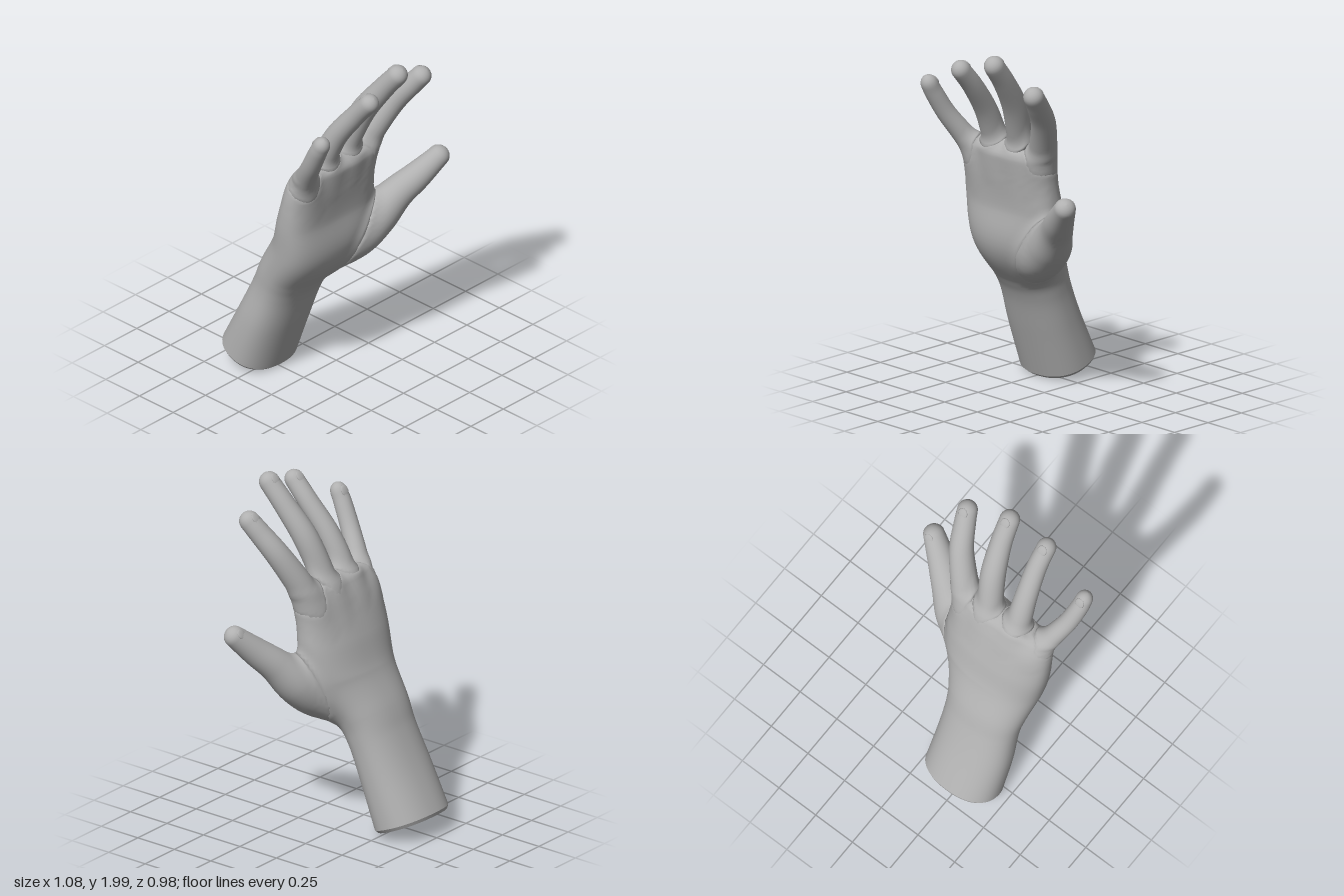
import * as THREE from 'three';

const skin = new THREE.MeshStandardMaterial({ color: 0xb0b0b0 });
skin.name = 'plain grey';

const X = new THREE.Vector3(1, 0, 0);
const BLEND = 0.07; // width of the fillet where parts meet
const CAP_STEPS = 6;

// Half depth of a ring at a place across it; the front may be hollowed
const depthAt = (r, across, isFront) => r.y - (isFront ? r.z * Math.max(0, 1 - across * across) : 0);

// Lofts oval rings through sections [x, y, z, half width, half depth, hollow of the front]
// and closes the far end with a rounded cap. Round sections leave out the depth.
function loft(name, sections, { sides = 24, perSpan = 8, cap = 0.055, square = 1, level = false } = {}) {
  const path = new THREE.CatmullRomCurve3(sections.map(s => new THREE.Vector3(s[0], s[1], s[2])), false, 'catmullrom', 0.5);
  const size = new THREE.CatmullRomCurve3(sections.map(s => new THREE.Vector3(s[3], s[4] ?? s[3], s[5] ?? 0)), false, 'catmullrom', 0.5);
  const steps = (sections.length - 1) * perSpan;
  const rings = [], points = [], indices = [];

  for (let j = 0; j <= steps; j++) {
    const along = path.getTangent(j / steps);
    if (level) along.setX(0).normalize();
    const side = X.clone().addScaledVector(along, -along.x).normalize();
    rings.push({ centre: path.getPoint(j / steps), r: size.getPoint(j / steps), along, side, front: side.clone().cross(along) });
  }
  for (let j = 0; j <= steps + CAP_STEPS; j++) {
    const { centre, r, along, side, front } = rings[Math.min(j, steps)];
    const bend = Math.max(0, j - steps) / CAP_STEPS * Math.PI / 2;
    for (let i = 0; i < sides; i++) {
      const a = i / sides * Math.PI * 2;
      const c = Math.sign(Math.cos(a)) * Math.abs(Math.cos(a)) ** square;
      const s = Math.sign(Math.sin(a)) * Math.abs(Math.sin(a)) ** square;
      points.push(centre.clone()
        .addScaledVector(along, cap * Math.sin(bend))
        .addScaledVector(side, r.x * c * Math.cos(bend))
        .addScaledVector(front, depthAt(r, c, s > 0) * s * Math.cos(bend)));
      if (j === steps + CAP_STEPS) continue;
      const p = j * sides + i, q = j * sides + (i + 1) % sides;
      indices.push(p, p + sides, q, q, p + sides, q + sides);
    }
  }
  return { name, rings, points, indices, sides, cap, power: 2 / square };
}

// Approximate signed distance from a point to a lofted part
function distanceTo(part, p) {
  const v = new THREE.Vector3();
  let best = Infinity, ring = 0;
  part.rings.forEach(({ centre, along }, j) => {
    v.subVectors(p, centre);
    const score = v.dot(along) ** 2 + 0.05 * v.lengthSq();
    if (score < best) { best = score; ring = j; }
  });
  const { centre, along, side, front, r } = part.rings[ring];
  v.subVectors(p, centre);
  const x = Math.abs(v.dot(side)) / r.x;
  const half = depthAt(r, x, v.dot(front) > 0);
  const y = Math.abs(v.dot(front)) / half;
  const isEnd = ring === 0 || ring === part.rings.length - 1;
  const z = isEnd ? Math.abs(v.dot(along)) / part.cap : 0;
  const n = part.power;
  const q = Math.hypot(x ** (n / 2), y ** (n / 2)) ** (2 / n);
  const whole = Math.hypot(q, z) + 1e-6;
  const slope = Math.hypot(x ** (n - 1) / r.x, y ** (n - 1) / half) * (q + 1e-6) ** (1 - n) * q / whole;
  return (whole - 1) / (Math.hypot(slope, z / part.cap / whole) + 1e-6);
}

// Smooth union of all parts
function blendedDistance(parts, p) {
  return parts.map(part => distanceTo(part, p)).reduce((a, b) => {
    const h = Math.max(BLEND - Math.abs(a - b), 0) / BLEND;
    return Math.min(a, b) - h * h * BLEND / 4;
  });
}

// Pushes a point near a junction out onto the smooth union; buried points stay
function fillet(parts, point) {
  const start = blendedDistance(parts, point);
  const weight = THREE.MathUtils.clamp(2 + 4 * start / BLEND, 0, 1);
  if (start > -0.001 || weight === 0) return point;
  const moved = point.clone(), e = 0.006;
  for (let k = 0; k < 3; k++) {
    const f = blendedDistance(parts, moved);
    const g = new THREE.Vector3(...['x', 'y', 'z'].map(axis => {
      const ahead = moved.clone(), behind = moved.clone();
      ahead[axis] += e;
      behind[axis] -= e;
      return (blendedDistance(parts, ahead) - blendedDistance(parts, behind)) / (2 * e);
    }));
    moved.addScaledVector(g, -f / Math.max(g.lengthSq(), 0.4));
  }
  moved.sub(point).clampLength(0, BLEND * 0.6);
  return point.clone().addScaledVector(moved, weight);
}

function addMesh(parent, name, points, indices) {
  const geometry = new THREE.BufferGeometry().setFromPoints(points);
  geometry.setIndex(indices);
  geometry.computeVertexNormals();
  const mesh = new THREE.Mesh(geometry, skin);
  mesh.name = name;
  parent.add(mesh);
}

// Nail lying almost flush in the back of a digit's tip
function addNail(parent, digit) {
  const { centre, along, side, front, r } = digit.rings.at(-1);
  const nail = new THREE.Mesh(new THREE.SphereGeometry(1, 14, 10), skin);
  nail.name = digit.name + 'Nail';
  nail.matrixAutoUpdate = false;
  nail.matrix.makeBasis(side, along, front)
    .scale(new THREE.Vector3(0.028, 0.032, 0.008))
    .setPosition(centre.clone().addScaledVector(front, -r.y * 0.89).addScaledVector(along, -0.006));
  parent.add(nail);
}

export function createModel() {
  const hand = new THREE.Group();
  hand.name = 'hand';

  // Forearm, wrist and palm in one skin
  const body = loft('forearmAndPalm', [
    [-0.24, 0.087, -0.335, 0.226, 0.174],
    [-0.235, 0.335, -0.23, 0.224, 0.155],
    [-0.22, 0.535, -0.15, 0.22, 0.145],
    [-0.207, 0.665, -0.09, 0.238, 0.155],
    [-0.165, 0.855, 0.03, 0.3, 0.182, 0.02],
    [-0.157, 1.065, 0.07, 0.324, 0.155, 0.04],
    [-0.156, 1.245, 0.1, 0.314, 0.12, 0.015],
    [-0.135, 1.36, 0.125, 0.272, 0.092],
  ], { sides: 64, cap: 0.05, square: 0.88, level: true });

  // Fingers and thumb, rooted inside the palm
  const index = loft('indexFinger', [
    [0.03, 1.15, 0.07, 0.06],
    [0.085, 1.33, 0.105, 0.078],
    [0.135, 1.45, 0.138, 0.075],
    [0.215, 1.62, 0.217, 0.067],
    [0.262, 1.74, 0.305, 0.06],
    [0.285, 1.805, 0.357, 0.056],
  ]);
  const middle = loft('middleFinger', [
    [-0.07, 1.15, 0.06, 0.06],
    [-0.06, 1.32, 0.097, 0.077],
    [-0.05, 1.45, 0.13, 0.071],
    [-0.01, 1.65, 0.208, 0.069],
    [0.025, 1.82, 0.322, 0.06],
    [0.042, 1.937, 0.415, 0.056],
  ]);
  const ring = loft('ringFinger', [
    [-0.22, 1.15, 0.07, 0.06],
    [-0.225, 1.3, 0.105, 0.074],
    [-0.235, 1.44, 0.145, 0.069],
    [-0.222, 1.6, 0.222, 0.062],
    [-0.2, 1.76, 0.34, 0.056],
    [-0.195, 1.867, 0.432, 0.053],
  ]);
  const little = loft('littleFinger', [
    [-0.33, 1.12, 0.08, 0.057],
    [-0.378, 1.28, 0.12, 0.07],
    [-0.425, 1.4, 0.185, 0.06],
    [-0.472, 1.53, 0.27, 0.053],
    [-0.495, 1.65, 0.338, 0.05],
    [-0.5, 1.708, 0.37, 0.047],
  ]);
  const thumb = loft('thumb', [
    [-0.09, 0.7, 0, 0.075],
    [0.045, 0.78, 0.075, 0.118],
    [0.17, 0.89, 0.125, 0.12],
    [0.28, 1.01, 0.185, 0.092],
    [0.37, 1.1, 0.245, 0.078],
    [0.475, 1.208, 0.308, 0.059],
  ], { sides: 32 });

  const digits = [index, middle, ring, little, thumb];
  const parts = [body, ...digits];
  for (const part of parts) {
    addMesh(hand, part.name, part.points.map(p => fillet(parts, p)), part.indices);
  }
  digits.forEach(digit => addNail(hand, digit));

  // Flat end of the forearm with a narrow bevel
  const { centre, along } = body.rings[0];
  const count = body.sides;
  const rim = body.points.slice(0, count);
  const face = centre.clone().addScaledVector(along, -0.018);
  const inner = rim.map(p => p.clone().sub(centre).multiplyScalar(0.94).add(face));
  const bevel = [], disc = [];
  for (let i = 0; i < count; i++) {
    const next = (i + 1) % count;
    bevel.push(i, next, i + count, next, next + count, i + count);
    disc.push(count, i, next);
  }
  addMesh(hand, 'forearmBevel', [...rim, ...inner], bevel);
  addMesh(hand, 'forearmEnd', [...inner, face], disc);

  return hand;
}
